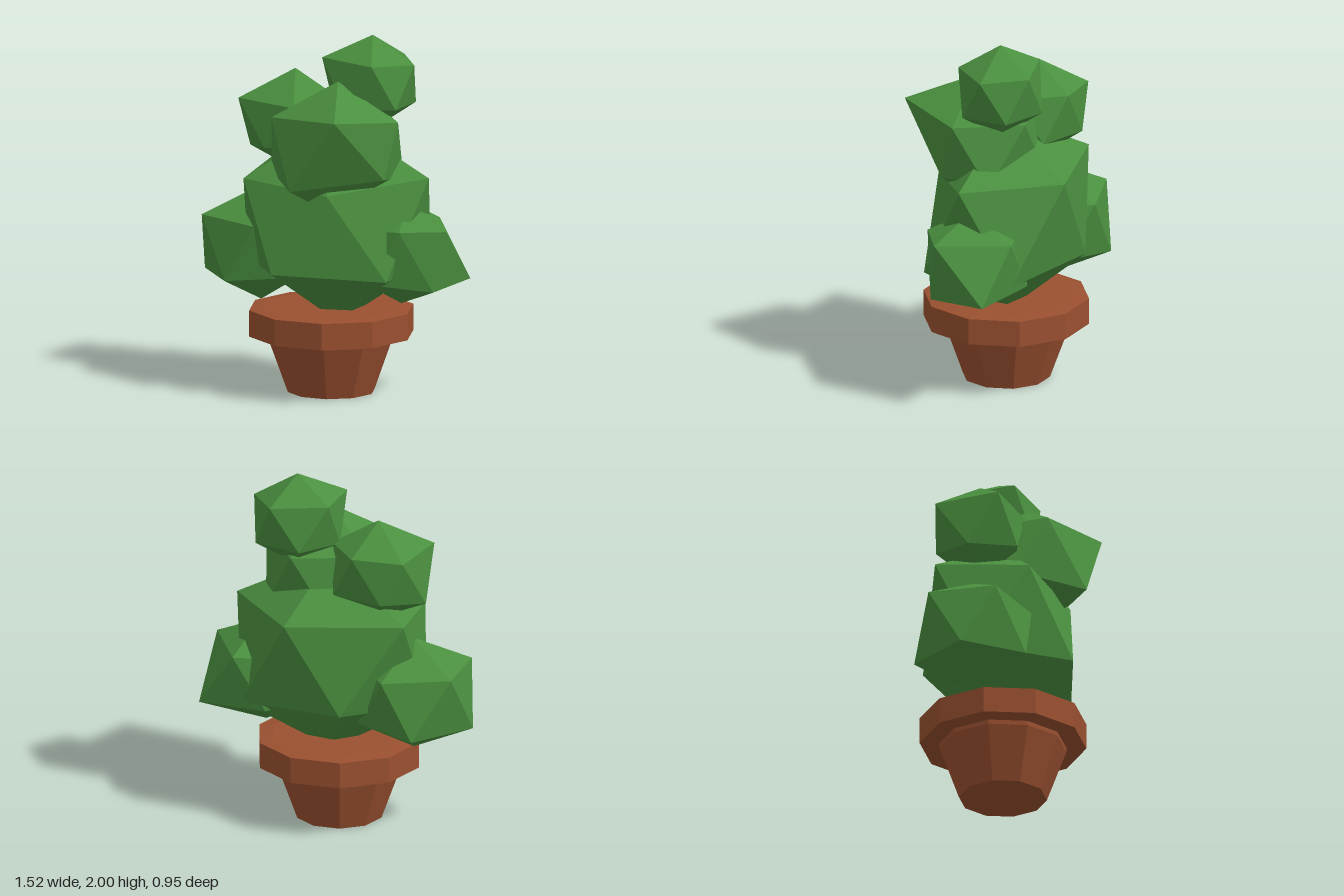
import * as THREE from 'three';

const leafMaterial = new THREE.MeshStandardMaterial({ color: 0x4a8f3f, flatShading: true });
const potMaterial = new THREE.MeshStandardMaterial({ color: 0x9a5030, flatShading: true });

// Uneven icosahedron: top t, upper ring u0-u4, lower ring l0-l4, bottom b.
// Rings run from +x towards +z; corners listed in "moved" replace the regular ones.
function makeClump({ name, centre: [x, y, z], radii: [sx, sy, sz], moved }) {
  const corners = { t: [x, y + sy, z], b: [x, y - sy, z] };
  const ringRadius = 2 / Math.sqrt(5), ringHeight = 1 / Math.sqrt(5);
  for (let k = 0; k < 5; k++) {
    for (const [ring, side, turn] of [['u', 1, 0], ['l', -1, 0.5]]) {
      const angle = (k + turn) * Math.PI * 0.4;
      corners[ring + k] = [
        x + sx * ringRadius * Math.cos(angle),
        y + sy * ringHeight * side,
        z + sz * ringRadius * Math.sin(angle),
      ];
    }
  }
  Object.assign(corners, moved);

  const positions = [];
  for (let k = 0; k < 5; k++) {
    const n = (k + 1) % 5;
    const u = 'u' + k, uNext = 'u' + n, l = 'l' + k, lNext = 'l' + n;
    for (const key of ['t', uNext, u, u, uNext, l, l, uNext, lNext, l, lNext, 'b']) {
      positions.push(...corners[key]);
    }
  }
  const geometry = new THREE.BufferGeometry();
  geometry.setAttribute('position', new THREE.Float32BufferAttribute(positions, 3));
  geometry.computeVertexNormals();
  const mesh = new THREE.Mesh(geometry, leafMaterial);
  mesh.name = name;
  return mesh;
}

// Leaf clumps from the top down
const clumps = [
  {
    name: 'topClump', centre: [0.24, 1.735, -0.1], radii: [0.275, 0.265, 0.255],
    moved: { u0: [0.49, 1.85, -0.1], u1: [0.33, 1.865, 0.115], u2: [0, 1.88, 0.045], u3: [0.02, 1.87, -0.23], u4: [0.33, 1.86, -0.32] },
  },
  {
    name: 'upperRightClump', centre: [-0.225, 1.49, -0.095], radii: [0.3, 0.285, 0.27],
    moved: { u1: [-0.13, 1.6, 0.14], u2: [-0.495, 1.615, 0.07], u3: [-0.43, 1.61, -0.3], l2: [-0.5, 1.32, -0.1] },
  },
  {
    name: 'upperFrontClump', centre: [0.12, 1.385, 0.1], radii: [0.41, 0.38, 0.41],
    moved: { u0: [0.475, 1.56, 0.08], u1: [0.27, 1.61, 0.475], u2: [-0.2, 1.57, 0.28], l0: [0.43, 1.25, 0.17], l1: [-0.01, 1.2, 0.455], l2: [-0.28, 1.23, 0.1] },
  },
  {
    name: 'middleClump', centre: [0.06, 0.955, -0.04], radii: [0.61, 0.57, 0.49],
    moved: { u0: [0.61, 1.24, -0.03], u1: [0.155, 1.165, 0.325], u2: [-0.395, 1.2, 0.22], u3: [-0.435, 1.24, -0.3], u4: [0.2, 1.235, -0.475], l0: [0.48, 0.695, 0.25], l1: [-0.14, 0.715, 0.41], l3: [-0.11, 0.73, -0.445] },
  },
  {
    name: 'lowerRightClump', centre: [-0.435, 0.785, -0.085], radii: [0.37, 0.33, 0.36],
    moved: { t: [-0.425, 1.105, -0.085], u2: [-0.7, 0.95, 0.105], u3: [-0.7, 0.95, -0.275], l1: [-0.505, 0.615, 0.23], l2: [-0.765, 0.61, -0.08], l3: [-0.51, 0.61, -0.4], b: [-0.425, 0.465, -0.08] },
  },
  {
    name: 'lowerLeftClump', centre: [0.45, 0.805, -0.05], radii: [0.345, 0.31, 0.32],
    moved: { t: [0.47, 1.1, -0.045], u0: [0.75, 0.965, 0.05], u1: [0.535, 0.97, 0.2], u4: [0.545, 0.96, -0.32], l0: [0.695, 0.63, 0.1], l4: [0.76, 0.65, -0.25], b: [0.435, 0.52, -0.05] },
  },
];

// Ten-sided solid of revolution with a flat side to the front
function makeTurned(name, profile) {
  const points = profile.map(([r, y]) => new THREE.Vector2(r, y));
  const mesh = new THREE.Mesh(new THREE.LatheGeometry(points, 10, Math.PI / 10), potMaterial);
  mesh.name = name;
  mesh.position.set(0.023, 0, -0.025);
  return mesh;
}

export function createModel() {
  const model = new THREE.Group();
  model.name = 'pottedBush';

  // Tapered pot with a heavy rim
  const pot = new THREE.Group();
  pot.name = 'pot';
  pot.add(
    makeTurned('potBody', [[0, 0], [0.243, 0], [0.35, 0.295], [0.35, 0.33]]),
    makeTurned('potRim', [[0, 0.32], [0.46, 0.32], [0.46, 0.467], [0.38, 0.475], [0, 0.475]]),
  );

  const foliage = new THREE.Group();
  foliage.name = 'foliage';
  foliage.add(...clumps.map(makeClump));

  model.add(pot, foliage);
  return model;
}
